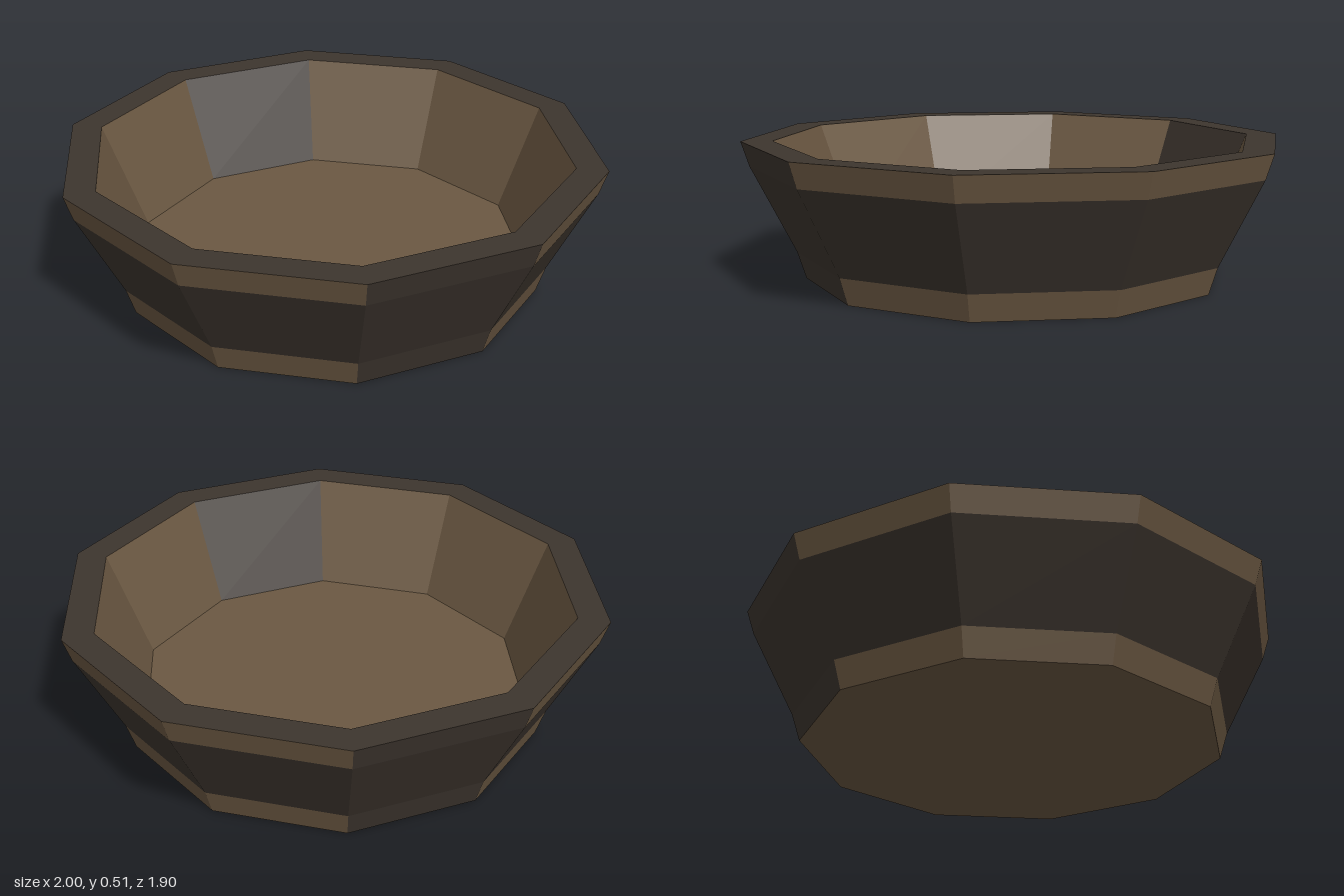
import * as THREE from 'three';

const SIDES = 10;
const brown = new THREE.MeshStandardMaterial({ name: 'brown wood', color: 0x6b5842 });
const dark = new THREE.MeshStandardMaterial({ name: 'dark wood', color: 0x3d352e });

// Profile corners [radius, height], from the foot up and over into the bowl
const foot = [0.775, 0], footTop = [0.807, 0.1], lipBottom = [0.97, 0.42];
const rimOuter = [1, 0.512], rimInner = [0.885, 0.512], floorEdge = [0.725, 0.122];

// Flat-sided ring between two profile corners; the front and back sides use material 1
function band(name, from, to, materials) {
  const positions = [];
  const geometry = new THREE.BufferGeometry();
  const point = ([r, y], i) => {
    const a = (i / SIDES) * Math.PI * 2;
    return [r * Math.cos(a), y, r * Math.sin(a)];
  };
  for (let i = 0; i < SIDES; i++) {
    const a = point(from, i + 1), b = point(from, i), c = point(to, i), d = point(to, i + 1);
    positions.push(...a, ...b, ...c, ...a, ...c, ...d);
    geometry.addGroup(i * 6, 6, i % 5 === 2 ? 1 : 0);
  }
  geometry.setAttribute('position', new THREE.Float32BufferAttribute(positions, 3));
  geometry.computeVertexNormals();
  const mesh = new THREE.Mesh(geometry, materials);
  mesh.name = name;
  return mesh;
}

// Ten-sided flat disc facing up or down
function disc(name, [radius, y], up) {
  const geometry = new THREE.CircleGeometry(radius, SIDES);
  geometry.rotateX(up ? -Math.PI / 2 : Math.PI / 2);
  const mesh = new THREE.Mesh(geometry, brown);
  mesh.name = name;
  mesh.position.y = y;
  return mesh;
}

export function createModel() {
  const bowl = new THREE.Group();
  bowl.name = 'bowl';
  bowl.add(
    disc('base', foot, false),
    band('footBand', foot, footTop, [brown, dark]),
    band('outerWall', footTop, lipBottom, [dark, dark]),
    band('lipBand', lipBottom, rimOuter, [brown, dark]),
    band('rim', rimOuter, rimInner, [dark, dark]),
    band('innerWall', rimInner, floorEdge, [brown, dark]),
    disc('bowlFloor', floorEdge, true),
  );
  return bowl;
}
